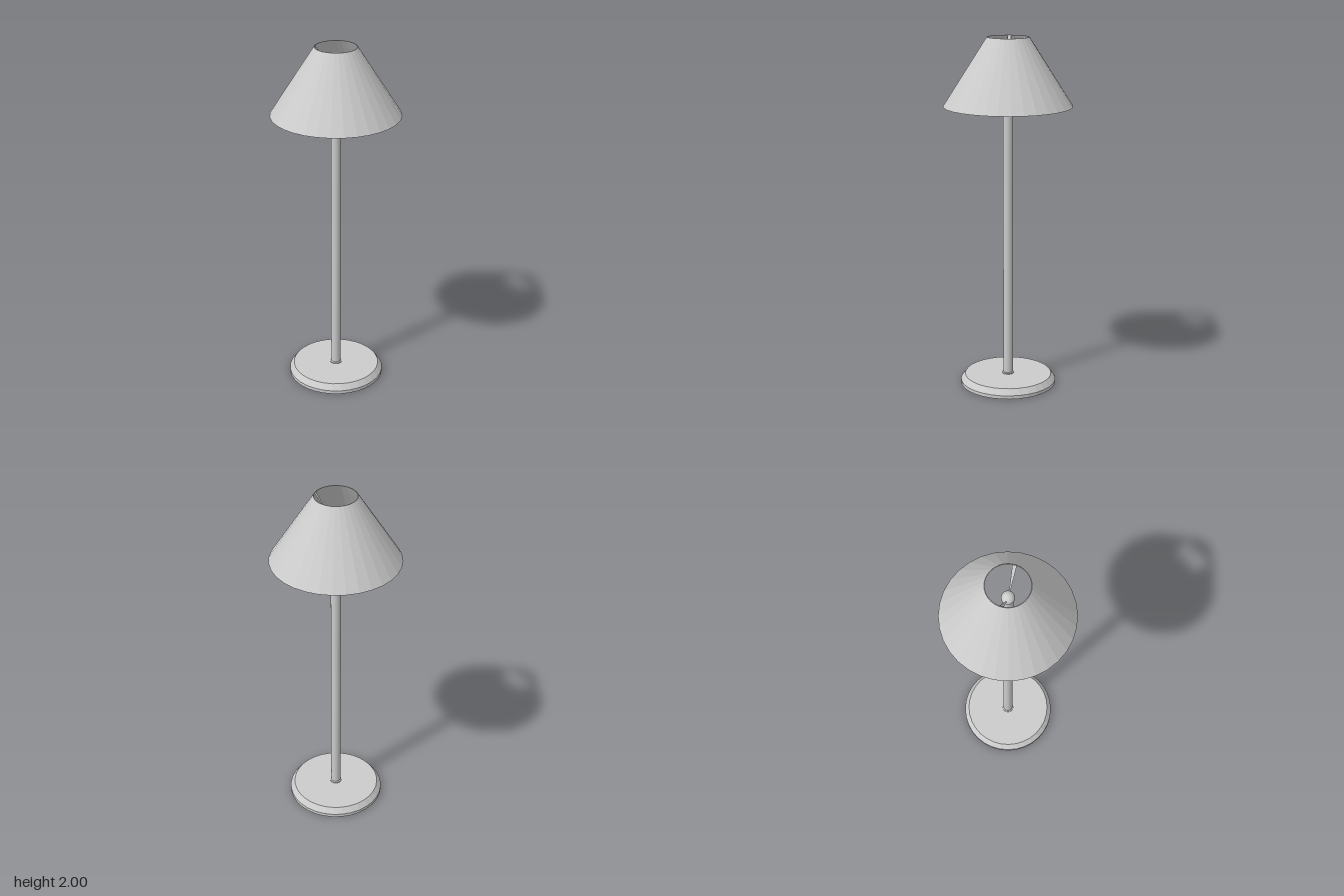
import * as THREE from 'three';

const SIDES = 32;
const flat = new THREE.MeshStandardMaterial({ color: 0xcccccc, flatShading: true });
const smooth = new THREE.MeshStandardMaterial({ color: 0xcccccc });
const thin = new THREE.MeshStandardMaterial({ color: 0xcccccc, flatShading: true, side: THREE.DoubleSide });

function add(group, name, geometry, material) {
  const mesh = new THREE.Mesh(geometry, material);
  mesh.name = name;
  group.add(mesh);
  return mesh;
}

function lathe(points) {
  return new THREE.LatheGeometry(points.map(([r, y]) => new THREE.Vector2(r, y)), SIDES);
}

export function createModel() {
  const lamp = new THREE.Group();
  lamp.name = 'tableLamp';

  // Round base with a bevelled upper edge
  add(lamp, 'base', lathe([[0, 0], [0.275, 0], [0.275, 0.02], [0.25, 0.053], [0, 0.053]]), flat);

  // Collar and straight pole
  add(lamp, 'collar', lathe([[0.034, 0.05], [0.034, 0.058], [0.028, 0.062]]), flat);
  const pole = add(lamp, 'pole', new THREE.CylinderGeometry(0.028, 0.028, 1.79, SIDES), smooth);
  pole.position.y = 0.05 + 1.79 / 2;

  // Ball finial on top of the pole
  const ball = add(lamp, 'finial', new THREE.SphereGeometry(0.035, 32, 16), smooth);
  ball.position.y = 1.85;

  // Thin-walled conical shade, open at both ends
  add(lamp, 'shade', lathe([
    [0.354, 1.62], [0.36, 1.62], [0.117, 2], [0.113, 2], [0.354, 1.62],
  ]), flat);

  // Two narrow wedges that carry the shade from the pole
  const step = (Math.PI * 2) / SIDES;
  for (const [i, name] of ['leftBracket', 'rightBracket'].entries()) {
    const wedge = new THREE.BufferGeometry();
    const rim = (a) => [0.115 * Math.cos(a), 1.999, -0.115 * Math.sin(a)];
    wedge.setAttribute('position', new THREE.Float32BufferAttribute(
      [0, 1.82, 0, ...rim(0), ...rim(step)], 3));
    wedge.computeVertexNormals();
    add(lamp, name, wedge, thin).rotation.y = i * Math.PI;
  }

  return lamp;
}
